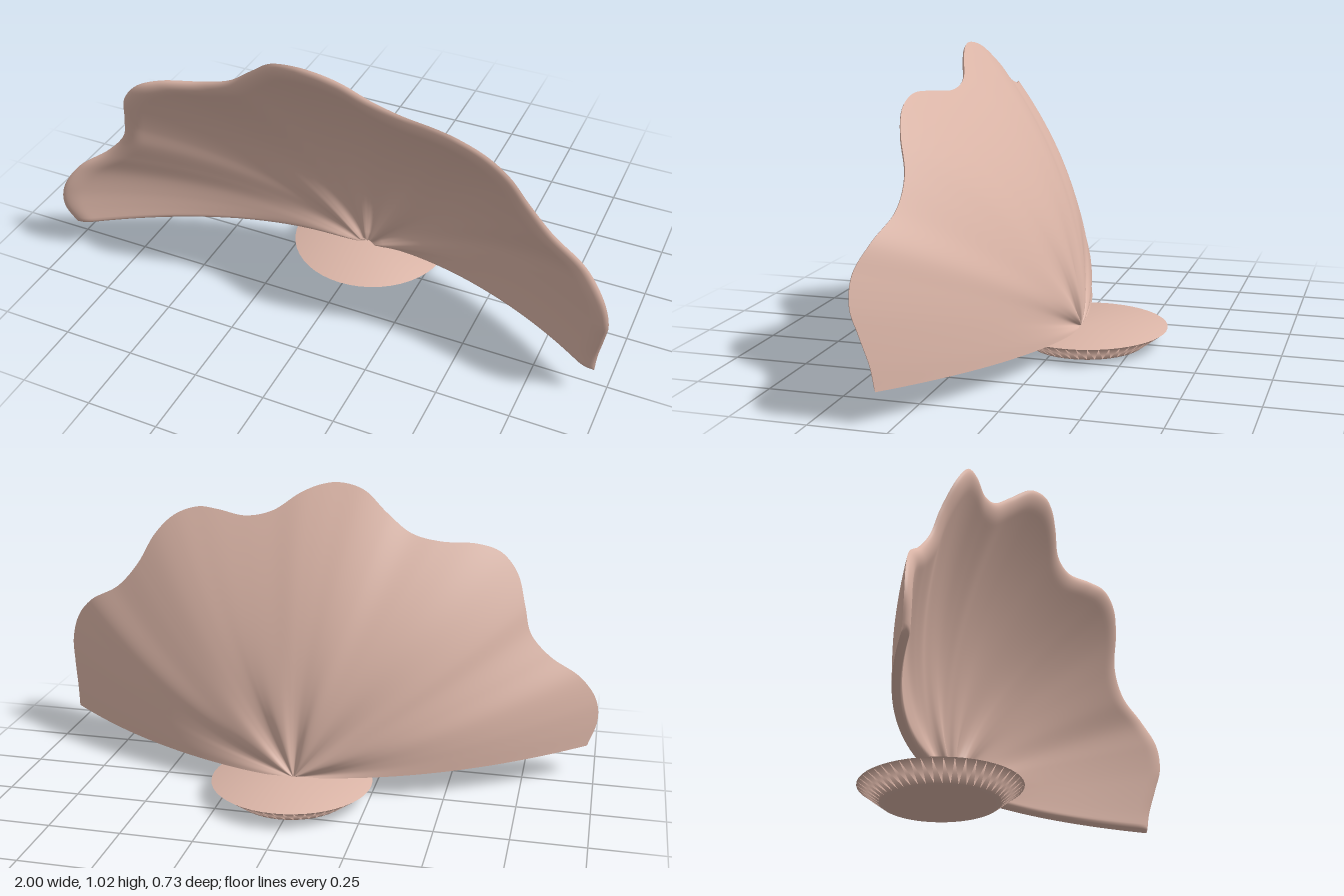
import * as THREE from 'three';

const clay = new THREE.MeshStandardMaterial({ color: 0xdbb5a7 });
clay.name = 'pale clay pink';

// Scalloped rim, from the right end over the top to the left end
const rim = new THREE.CatmullRomCurve3([
  [0.96, 0.105, 0.30], [0.967, 0.18, 0.31], [0.985, 0.28, 0.335], [0.995, 0.36, 0.355],
  [0.97, 0.45, 0.355], [0.90, 0.53, 0.325], [0.78, 0.60, 0.297], [0.70, 0.69, 0.30],
  [0.64, 0.80, 0.335], [0.57, 0.87, 0.357], [0.48, 0.905, 0.357], [0.40, 0.905, 0.335],
  [0.28, 0.895, 0.30], [0.18, 0.92, 0.30], [0.09, 0.98, 0.33], [0.02, 1.01, 0.35],
  [-0.05, 1.02, 0.358], [-0.14, 1.0, 0.345], [-0.23, 0.93, 0.31], [-0.32, 0.865, 0.297],
  [-0.42, 0.84, 0.305], [-0.55, 0.83, 0.34], [-0.63, 0.80, 0.357], [-0.69, 0.73, 0.35],
  [-0.725, 0.62, 0.315], [-0.75, 0.53, 0.297], [-0.82, 0.45, 0.30], [-0.93, 0.37, 0.33],
  [-0.99, 0.28, 0.355], [-1.0, 0.2, 0.358], [-0.97, 0.11, 0.335],
].map(p => new THREE.Vector3(...p)));

const HINGE = new THREE.Vector3(0.02, 0.055, -0.06);
const NU = 240, NV = 48, THICK = 0.03;

const rounded = (d, width) => {
  const k = 1 - Math.min(1, Math.max(0, d) / width);
  return Math.sqrt(1 - k * k);
};

// One side of the shell: rays bowing forward from the hinge to the rim
function shellSide(front) {
  const pos = [], index = [];
  const angleAt = u => {
    const p = rim.getPoint(u);
    return Math.atan2(p.y - HINGE.y, p.x - HINGE.x);
  };
  const first = angleAt(0), last = angleAt(1);
  for (let i = 0; i <= NU; i++) {
    const p = rim.getPoint(i / NU).sub(HINGE);
    const R = Math.hypot(p.x, p.y), angle = Math.atan2(p.y, p.x);
    const lobe = (p.z + HINGE.z - 0.33) / 0.03;
    const gap = Math.min(angle - first, last - angle, Math.PI / 2);
    for (let j = 0; j <= NV; j++) {
      const t = 1 - (1 - j / NV) ** 1.8;
      // flutes are deepest near the hinge and fade outwards
      const flute = 0.01 * lobe * (t / 0.15) * Math.exp(1 - t / 0.15) * (1 - t);
      const v = new THREE.Vector3(p.x * t, p.y * t, p.z * t * t + flute).add(HINGE);
      if (front) {
        const slope = 2 * p.z * t / R;
        const n = new THREE.Vector3(-slope * p.x / R, -slope * p.y / R, 1).normalize();
        const h = THICK * rounded(R * (1 - t), 0.05) * rounded(R * t * Math.sin(gap), 0.02);
        v.addScaledVector(n, h);
      }
      pos.push(v.x, v.y, v.z);
      if (i < NU && j < NV) {
        const a = i * (NV + 1) + j, b = a + NV + 1;
        if (front) index.push(a, a + 1, b, b, a + 1, b + 1);
        else index.push(a, b, a + 1, b, b + 1, a + 1);
      }
    }
  }
  const g = new THREE.BufferGeometry();
  g.setAttribute('position', new THREE.Float32BufferAttribute(pos, 3));
  g.setIndex(index);
  g.computeVertexNormals();
  return g;
}

export function createModel() {
  const model = new THREE.Group();
  model.name = 'scallopShell';
  const add = (name, geometry) => {
    const mesh = new THREE.Mesh(geometry, clay);
    mesh.name = name;
    model.add(mesh);
    return mesh;
  };

  add('shellFront', shellSide(true));
  add('shellBack', shellSide(false));

  // Flared round foot with softly shaded edges
  const profile = [[0, 0], [0.2, 0], [0.28, 0.06], [0, 0.06]].map(p => new THREE.Vector2(...p));
  add('foot', new THREE.LatheGeometry(profile, 48)).position.set(0.02, 0, -0.08);

  return model;
}
